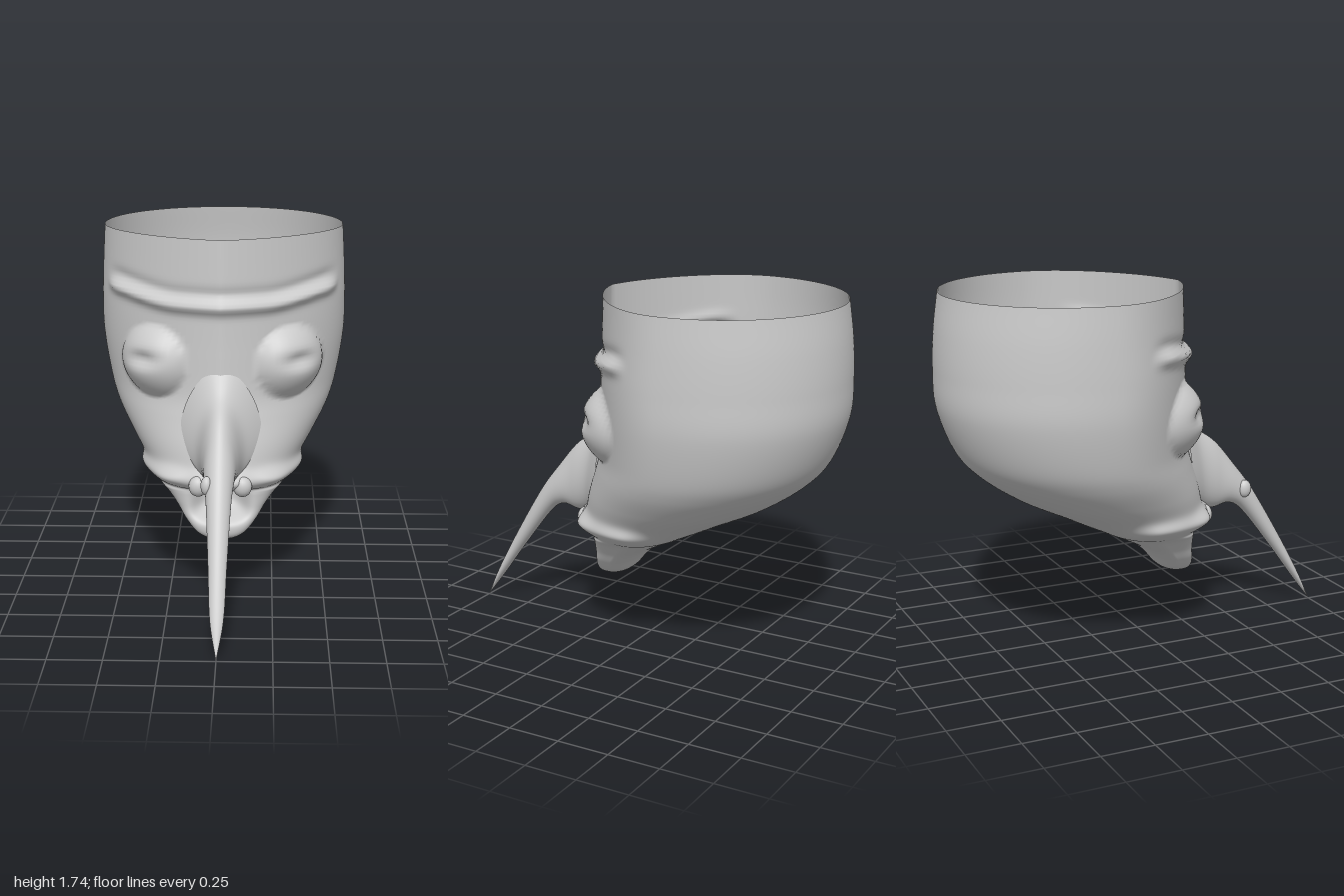
import * as THREE from 'three';

const material = new THREE.MeshStandardMaterial({ color: 0xcccccc, side: THREE.DoubleSide });
const { smoothstep } = THREE.MathUtils;

// Builds a tube-like skin from closed rings; point(t, angle) gives each vertex,
// isOpen(x, y, z) marks where faces are left out
function loft(name, rows, cols, point, isOpen = () => false) {
  const positions = [], index = [];
  for (let i = 0; i <= rows; i++) {
    for (let j = 0; j < cols; j++) {
      const p = point(i / rows, (j / cols) * Math.PI * 2);
      positions.push(...p);
      if (i === rows || isOpen(...p)) continue;
      const a = i * cols + j, b = i * cols + (j + 1) % cols;
      index.push(a, a + cols, b, b, a + cols, b + cols);
    }
  }
  const geometry = new THREE.BufferGeometry();
  geometry.setAttribute('position', new THREE.Float32BufferAttribute(positions, 3));
  geometry.setIndex(index);
  geometry.computeVertexNormals();
  const mesh = new THREE.Mesh(geometry, material);
  mesh.name = name;
  return mesh;
}

const curve = (points) => new THREE.CatmullRomCurve3(
  points.map((p) => new THREE.Vector3(...p)), false, 'catmullrom', 0.5);
const bell = (d, s) => Math.exp(-(d * d) / (s * s));

// Head levels: y, half width, front z, back z, z of the widest point
const levels = [
  [1.74, 0.59, 0.215, -0.96, -0.36],
  [1.56, 0.60, 0.22, -0.985, -0.36],
  [1.38, 0.605, 0.225, -0.995, -0.35],
  [1.20, 0.60, 0.23, -0.985, -0.35],
  [1.00, 0.565, 0.24, -0.91, -0.32],
  [0.88, 0.525, 0.265, -0.81, -0.27],
  [0.76, 0.455, 0.295, -0.64, -0.19],
  [0.66, 0.385, 0.31, -0.44, -0.10],
  [0.61, 0.355, 0.31, -0.34, -0.06],
  [0.575, 0.335, 0.31, -0.265, -0.04],
  [0.555, 0.32, 0.29, -0.225, -0.02],
  [0.54, 0.30, 0.25, -0.19, 0.0],
  [0.51, 0.265, 0.25, -0.13, 0.03],
  [0.45, 0.215, 0.255, -0.02, 0.09],
  [0.39, 0.175, 0.265, 0.05, 0.14],
  [0.33, 0.125, 0.267, 0.10, 0.17],
  [0.30, 0.07, 0.25, 0.15, 0.20],
  [0.29, 0, 0.22, 0.22, 0.22],
];

// Raised eyes, brow and lip on the head surface
function relief(x, y, z) {
  const ax = Math.abs(x);
  let out = 0;
  if (z > -0.3) {
    const r = Math.hypot((ax - 0.325) / 0.16, (y - 1.14) / 0.175);
    if (r < 1) out += 0.1 * Math.pow(1 - r * r, 0.9);
    out -= 0.035 * bell(Math.hypot((ax - 0.33) / 1.7, y - 1.16), 0.035);
    // Brow sweeps up toward the temples
    const browY = 1.425 + 0.05 * smoothstep(ax, 0.2, 0.58);
    const browFade = smoothstep(z, -0.2, -0.06);
    out += 0.034 * browFade * bell(y - browY, 0.032);
    out -= 0.012 * browFade * bell(y - browY - 0.055, 0.03);
  }
  // Wavy lip that fades out toward the back
  const lipFade = smoothstep(z, -0.24, -0.04);
  return out + lipFade * bell(y - 0.605, 0.042) * (0.043 + 0.01 * Math.sin(ax * 34));
}

function makeHead() {
  const outline = curve(levels.map((l) => [l[1], l[2], l[3]]));
  const heights = curve(levels.map((l) => [l[0], l[4], 0]));
  const point = (t, angle) => {
    const { x: w, y: front, z: back } = outline.getPoint(t);
    const { x: y, y: mid } = heights.getPoint(t);
    const s = Math.sin(angle), c = Math.cos(angle);
    const depth = c > 0 ? front - mid : mid - back;
    const chin = smoothstep(t, 0.58, 0.68);
    let x = w * s, z = mid + depth * c;
    if (c > 0) {
      // Face comes to a blunt keel above the lip; the chin front is squarer
      const keel = 0.2 * smoothstep(y, 0.6, 1.0) * Math.abs(s);
      z = mid + depth * Math.pow(c, 1 - 0.5 * chin) * (1 - keel);
    }
    // Push along the outward direction of the ring
    const nx = s * depth, nz = c * w, len = Math.hypot(nx, nz) || 1;
    const d = relief(x, y, z) * (1 - chin);
    x += (d * nx) / len;
    z += (d * nz) / len;
    // Hollow of the open mouth
    if (c > 0) {
      z -= 0.13 * chin * Math.exp(-Math.pow(x / 0.12, 4) - Math.pow((y - 0.49) / 0.09, 4));
    }
    return [x, y, z];
  };
  // The nose is hollow and opens into the head
  const noseOpening = (x, y, z) => z > 0 && Math.hypot(x / 0.1, (y - 0.83) / 0.16) < 1;
  return loft('headShell', 187, 160, point, noseOpening);
}

// Long tapering nose: upper z, y, lower z, y, half width
const noseSections = [
  [0.215, 1.13, 0.30, 0.62, 0.23],
  [0.30, 1.015, 0.335, 0.59, 0.135],
  [0.42, 0.925, 0.41, 0.58, 0.095],
  [0.53, 0.795, 0.50, 0.595, 0.078],
  [0.64, 0.65, 0.59, 0.54, 0.062],
  [0.80, 0.385, 0.755, 0.33, 0.045],
  [0.92, 0.165, 0.89, 0.145, 0.032],
  [1.00, 0, 1.00, 0, 0],
];

function makeNose() {
  const upper = curve(noseSections.map((n) => [n[4], n[1], n[0]]));
  const lower = curve(noseSections.map((n) => [n[4], n[3], n[2]]));
  return loft('nose', 70, 40, (t, angle) => {
    const u = upper.getPoint(t), l = lower.getPoint(t);
    const k = (1 + Math.cos(angle)) / 2;
    // The bridge is narrower than the underside near the face
    const x = u.x * (1 - 0.35 * k * (1 - t)) * Math.sin(angle);
    // The root wraps back around the face
    const wrap = 1.5 * x * x * (1 - smoothstep(t, 0, 0.25));
    return [x, l.y + (u.y - l.y) * k, l.z + (u.z - l.z) * k - wrap];
  });
}

function makeLump(name, x, y, z, sx, sy, sz) {
  const mesh = new THREE.Mesh(new THREE.SphereGeometry(1, 20, 14), material);
  mesh.name = name;
  mesh.position.set(x, y, z);
  mesh.scale.set(sx, sy, sz);
  return mesh;
}

export function createModel() {
  const model = new THREE.Group();
  model.name = 'longNosedHead';
  model.add(makeHead(), makeNose());
  // Folds of the lip beside the nose
  for (const side of [-1, 1]) {
    model.add(makeLump('lipFold', side * 0.105, 0.585, 0.315, 0.045, 0.05, 0.04));
  }
  model.add(makeLump('noseWart', -0.055, 0.67, 0.57, 0.028, 0.045, 0.035));
  return model;
}
